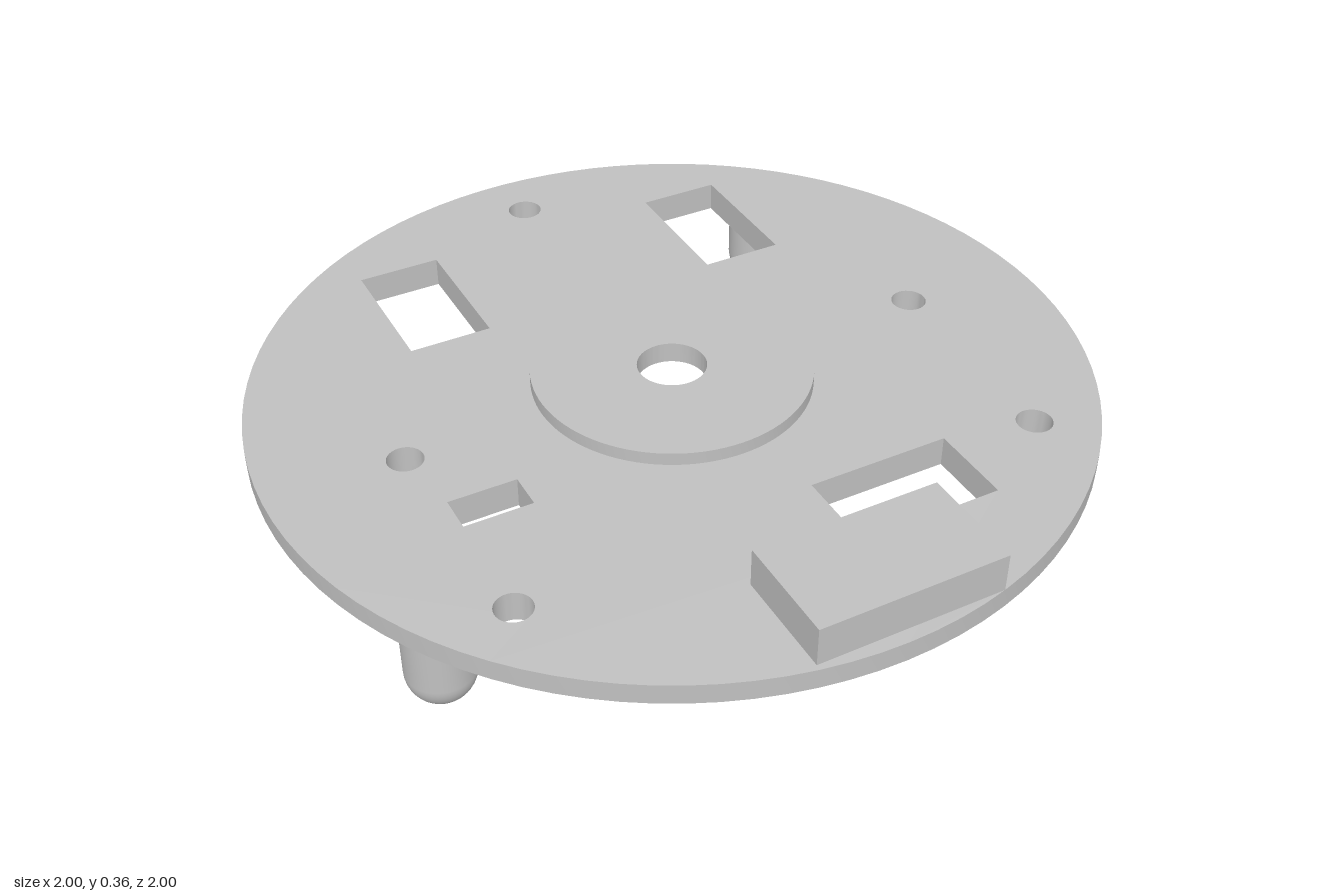
import * as THREE from 'three';
import { mergeGeometries, toCreasedNormals } from 'three/addons/utils/BufferGeometryUtils.js';

const SEG = 96;
const BOTTOM = 0.195, TOP = 0.27;

// Through cutouts: round holes [x, z, r] and windows [x0, x1, z0, z1]
const HOLES = [[0, -0.85, 0.043], [-0.672, 0, 0.043], [0.672, 0, 0.043], [-0.65, 0.545, 0.043], [0.65, 0.545, 0.043]];
const WINDOWS = [[-0.51, -0.305, -0.73, -0.38], [0.305, 0.51, -0.73, -0.38], [-0.645, -0.48, 0.18, 0.27], [0.08, 0.43, 0.5, 0.705]];

function circle(x, z, r, n) {
  return Array.from({ length: n }, (_, i) => {
    const t = (i / n) * Math.PI * 2;
    return new THREE.Vector2(x + r * Math.cos(t), z + r * Math.sin(t));
  });
}

function cutouts() {
  return [
    ...HOLES.map(([x, z, r]) => circle(x, z, r, 32)),
    ...WINDOWS.map(([x0, x1, z0, z1]) =>
      [[x0, z0], [x1, z0], [x1, z1], [x0, z1]].map(p => new THREE.Vector2(...p))),
  ];
}

// Flat ring at height y with all cutouts, facing up or down
function face(outer, inner, y, up) {
  const s = up ? -1 : 1;
  const flip = pts => pts.map(p => new THREE.Vector2(p.x, s * p.y));
  const shape = new THREE.Shape(flip(circle(0, 0, outer, SEG)));
  for (const loop of [circle(0, 0, inner, SEG), ...cutouts()]) shape.holes.push(new THREE.Path(flip(loop)));
  return new THREE.ShapeGeometry(shape).rotateX(s * Math.PI / 2).translate(0, y, 0);
}

// Inward-facing wall of one cutout
function wall(loop) {
  const pos = [];
  loop.forEach((a, i) => {
    const b = loop[(i + 1) % loop.length];
    pos.push(a.x, BOTTOM, a.y, b.x, BOTTOM, b.y, b.x, TOP, b.y);
    pos.push(a.x, BOTTOM, a.y, b.x, TOP, b.y, a.x, TOP, a.y);
  });
  const g = new THREE.BufferGeometry();
  g.setAttribute('position', new THREE.Float32BufferAttribute(pos, 3));
  return toCreasedNormals(g, 0.5);
}

function lathe(profile) {
  const g = new THREE.LatheGeometry(profile.map(p => new THREE.Vector2(...p)), SEG);
  return toCreasedNormals(g, 0.5);
}

export function createModel() {
  const group = new THREE.Group();
  const grey = new THREE.MeshStandardMaterial({ color: 0xc0c0c0 });
  grey.name = 'grey';
  const add = (name, geometry, x = 0, y = 0, z = 0) => {
    const mesh = new THREE.Mesh(geometry, grey);
    mesh.name = name;
    mesh.position.set(x, y, z);
    group.add(mesh);
  };

  // Round plate with a chamfered lower edge
  add('plateTop', face(1, 0.335, TOP, true));
  add('plateUnderside', face(0.97, 0.39, BOTTOM, false));
  add('plateRim', lathe([[0.97, BOTTOM], [1, 0.22], [1, TOP]]));
  add('cutoutWalls', mergeGeometries(cutouts().map(wall)));

  // Raised hub, centre bore and stepped pocket underneath
  add('hub', lathe([
    [0.335, TOP], [0.335, 0.302], [0.083, 0.302], [0.083, 0.25],
    [0.265, 0.25], [0.265, 0.224], [0.39, 0.224], [0.39, BOTTOM],
  ]));

  // Block at the front edge
  add('frontBlock', new THREE.BoxGeometry(0.45, 0.097, 0.257), 0.03, 0.3165, 0.8385);

  // Four round-ended feet
  const r = 0.079;
  const profile = [];
  for (let i = 0; i <= 12; i++) {
    const t = (i / 12) * Math.PI / 2;
    profile.push([r * Math.sin(t), r - r * Math.cos(t)]);
  }
  profile.push([r, 0.215]);
  const foot = new THREE.LatheGeometry(profile.map(p => new THREE.Vector2(...p)), 40);
  for (const side of [-1, 1]) {
    add('frontFoot', foot, side * 0.785, 0.003, 0.45);
    add('backFoot', foot, side * 0.61, 0.003, -0.64);
  }
  return group;
}
